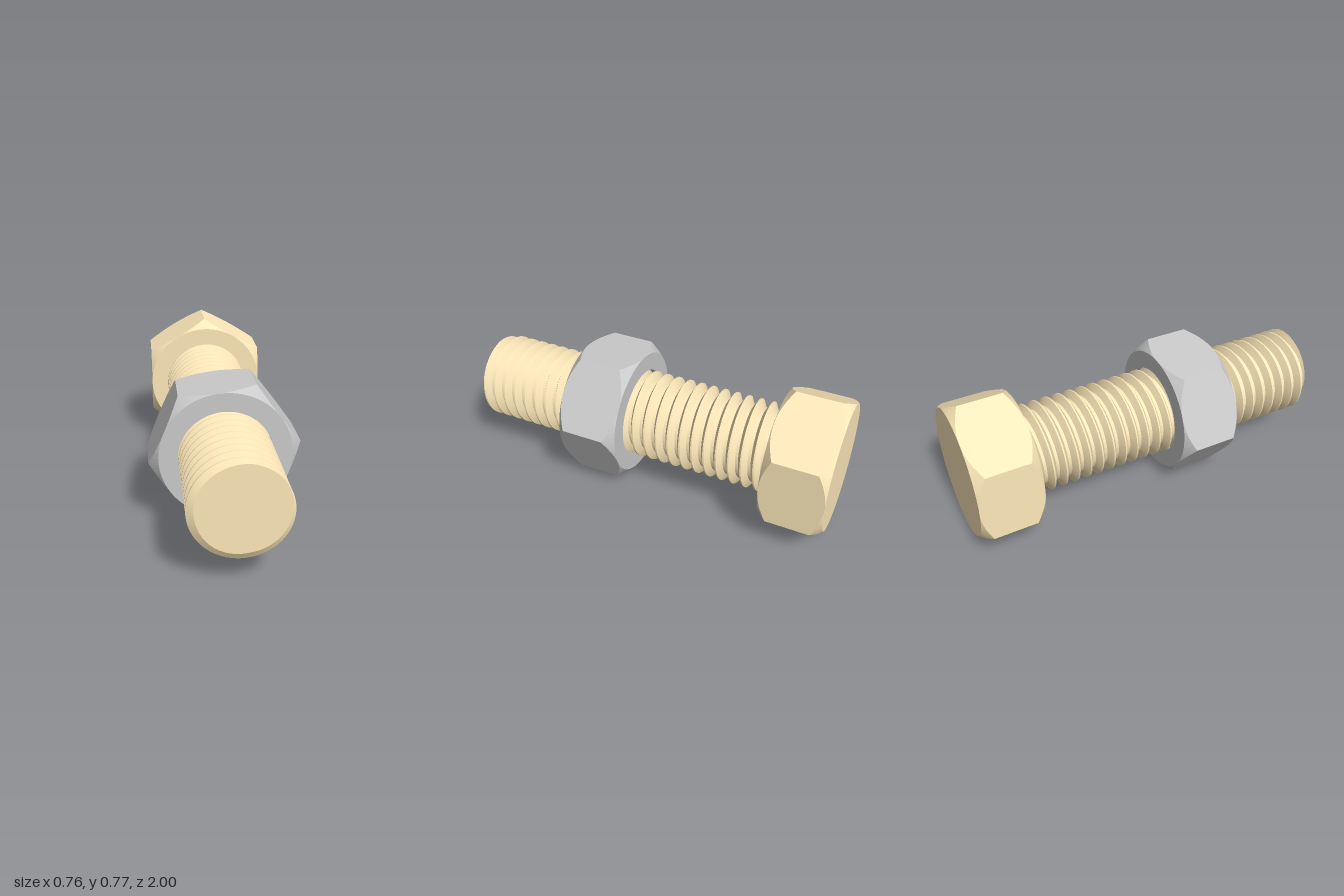
import * as THREE from 'three';
import { toCreasedNormals } from 'three/addons/utils/BufferGeometryUtils.js';

const AXIS_Y = 0.384;
const CORNER = 0.384;                          // hexagon centre to corner
const FLAT = CORNER * Math.cos(Math.PI / 6);   // hexagon centre to flat
const PITCH = 0.0667, ROOT = 0.198, CREST = 0.236;
const SHANK_START = -0.67, SHANK_END = 1;

// Surface around the z axis: at(row, angle) gives [radius, z]
function revolve(rows, cols, at) {
  const pos = [];
  const point = (i, j) => {
    const t = (j / cols) * Math.PI * 2;
    const [r, z] = at(i, t);
    return new THREE.Vector3(r * Math.cos(t), r * Math.sin(t), z);
  };
  const tri = new THREE.Triangle();
  const add = (a, b, c) => {
    if (tri.set(a, b, c).getArea() > 1e-9) pos.push(...a, ...b, ...c);
  };
  for (let i = 0; i < rows - 1; i++) {
    for (let j = 0; j < cols; j++) {
      const a = point(i, j), b = point(i, j + 1), c = point(i + 1, j + 1), d = point(i + 1, j);
      add(a, b, c);
      add(a, c, d);
    }
  }
  const geo = new THREE.BufferGeometry();
  geo.setAttribute('position', new THREE.Float32BufferAttribute(pos, 3));
  return toCreasedNormals(geo, 0.5);
}

// Hexagonal prism whose corners are cut by a 45 degree cone at both ends
function hexGeometry(z0, z1, hole) {
  const rows = [
    () => [hole, z0],
    () => [FLAT, z0],
    (r) => [r, z0 + r - FLAT],
    (r) => [r, z1 - r + FLAT],
    () => [FLAT, z1],
    () => [hole, z1],
  ];
  if (hole > 0) rows.push(() => [hole, z0]);
  return revolve(rows.length, 96, (i, t) => {
    const side = Math.PI / 3;
    const fromFlat = (((t % side) + side) % side) - side / 2;
    return rows[i](FLAT / Math.cos(fromFlat));
  });
}

// Helical thread, trimmed flat at both ends
function threadGeometry() {
  const stations = [-0.06, 0.06, 0.38, 0.62];  // crest flat, flank, root flat, flank
  const turns = Math.ceil((SHANK_END - SHANK_START) / PITCH) + 3;
  const count = turns * stations.length;
  const radius = (u) => {
    const d = Math.abs(u - Math.round(u));     // distance from crest, in pitches
    return THREE.MathUtils.lerp(CREST, ROOT, THREE.MathUtils.clamp((d - 0.06) / 0.32, 0, 1));
  };
  return revolve(count + 2, 72, (i, t) => {
    if (i === 0) return [0, SHANK_START];
    if (i === count + 1) return [0, SHANK_END];
    const k = i - 1;
    const u = Math.floor(k / 4) - turns + 2 + stations[k % 4];
    const lead = (t - Math.PI / 3) / (Math.PI * 2);
    const z = THREE.MathUtils.clamp(SHANK_END + PITCH * (u + lead), SHANK_START, SHANK_END);
    return [radius((z - SHANK_END) / PITCH - lead), z];
  });
}

export function createModel() {
  const group = new THREE.Group();
  const brass = new THREE.MeshStandardMaterial({ color: 0xffeabb });
  const steel = new THREE.MeshStandardMaterial({ color: 0xcccccc });

  const add = (name, geometry, material, turn = 0) => {
    const mesh = new THREE.Mesh(geometry, material);
    mesh.name = name;
    mesh.position.y = AXIS_Y;
    mesh.rotation.z = turn;
    group.add(mesh);
  };

  // Bolt: head with a corner straight up, and threaded shank
  add('boltHead', hexGeometry(-1, SHANK_START, 0), brass, Math.PI / 6);
  add('threadedShank', threadGeometry(), brass);

  // Nut, turned slightly on the thread
  add('nut', hexGeometry(0.11, 0.44, CREST + 0.001), steel, THREE.MathUtils.degToRad(6.6));
  return group;
}
